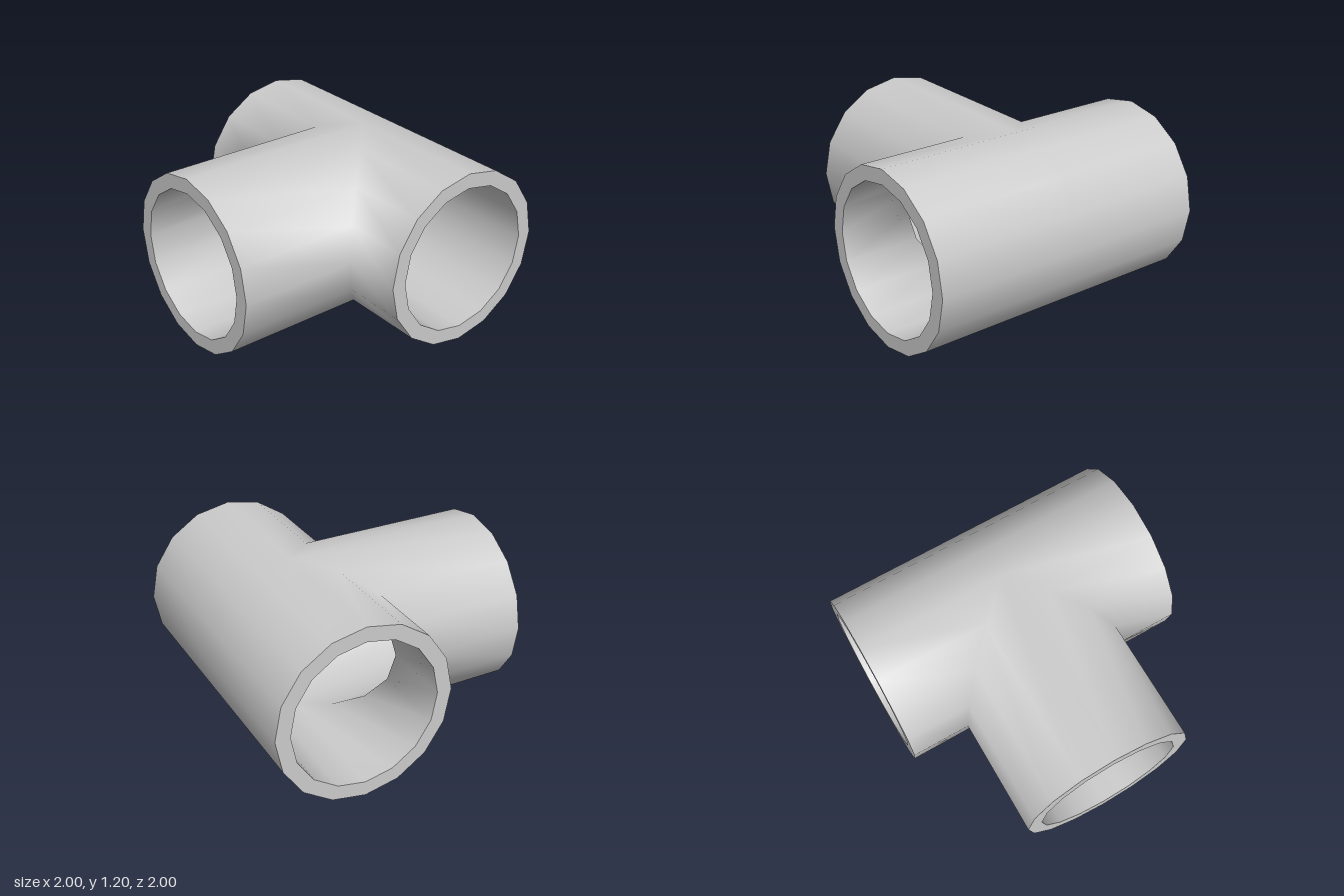
import * as THREE from 'three';
import { mergeVertices } from 'three/addons/utils/BufferGeometryUtils.js';

const SIDES = 16, OUTER = 0.6, INNER = 0.5;
const CX = 0.4, CY = 0.6; // axis of the straight run

// One skin of the tee: straight run along z, equal branch along -x, mitred together
function teeSkin(r, inward) {
  const pos = [];
  const quad = (a, b, c, d) => {
    const q = inward ? [a, d, c, a, c, b] : [a, b, c, a, c, d];
    q.forEach((p) => pos.push(...p));
  };
  for (let i = 0; i < SIDES; i++) {
    const [a, b] = [i, i + 1].map((k) => {
      const t = (k / SIDES) * Math.PI * 2;
      return { c: r * Math.cos(t), y: CY + r * Math.sin(t) };
    });
    // Straight run, opened where the branch enters
    const run = (p, z) => [CX + p.c, p.y, z];
    const cutA = Math.max(0, -a.c), cutB = Math.max(0, -b.c);
    quad(run(a, cutA), run(b, cutB), run(b, 1), run(a, 1));
    quad(run(a, -1), run(b, -1), run(b, -cutB), run(a, -cutA));
    // Branch, from the mitre to its open end
    const branch = (p, x) => [x, p.y, p.c];
    quad(branch(a, CX - Math.abs(a.c)), branch(b, CX - Math.abs(b.c)), branch(b, -1), branch(a, -1));
  }
  let geo = new THREE.BufferGeometry();
  geo.setAttribute('position', new THREE.Float32BufferAttribute(pos, 3));
  geo = mergeVertices(geo, 1e-4);
  geo.computeVertexNormals();
  return geo;
}

export function createModel() {
  const group = new THREE.Group();
  group.name = 'pipeTee';
  const material = new THREE.MeshStandardMaterial({ color: 0xcccccc });
  const add = (name, geo) => {
    const mesh = new THREE.Mesh(geo, material);
    mesh.name = name;
    group.add(mesh);
    return mesh;
  };

  // Outer and inner walls
  add('outerWall', teeSkin(OUTER, false));
  add('innerWall', teeSkin(INNER, true));

  // Flat rims closing the wall thickness at the three openings
  const rims = [
    ['frontRim', CX, 1, 0],
    ['backRim', CX, -1, Math.PI],
    ['branchRim', -1, 0, -Math.PI / 2],
  ];
  for (const [name, x, z, turn] of rims) {
    const rim = add(name, new THREE.RingGeometry(INNER, OUTER, SIDES));
    rim.position.set(x, CY, z);
    rim.rotation.y = turn;
  }
  return group;
}
